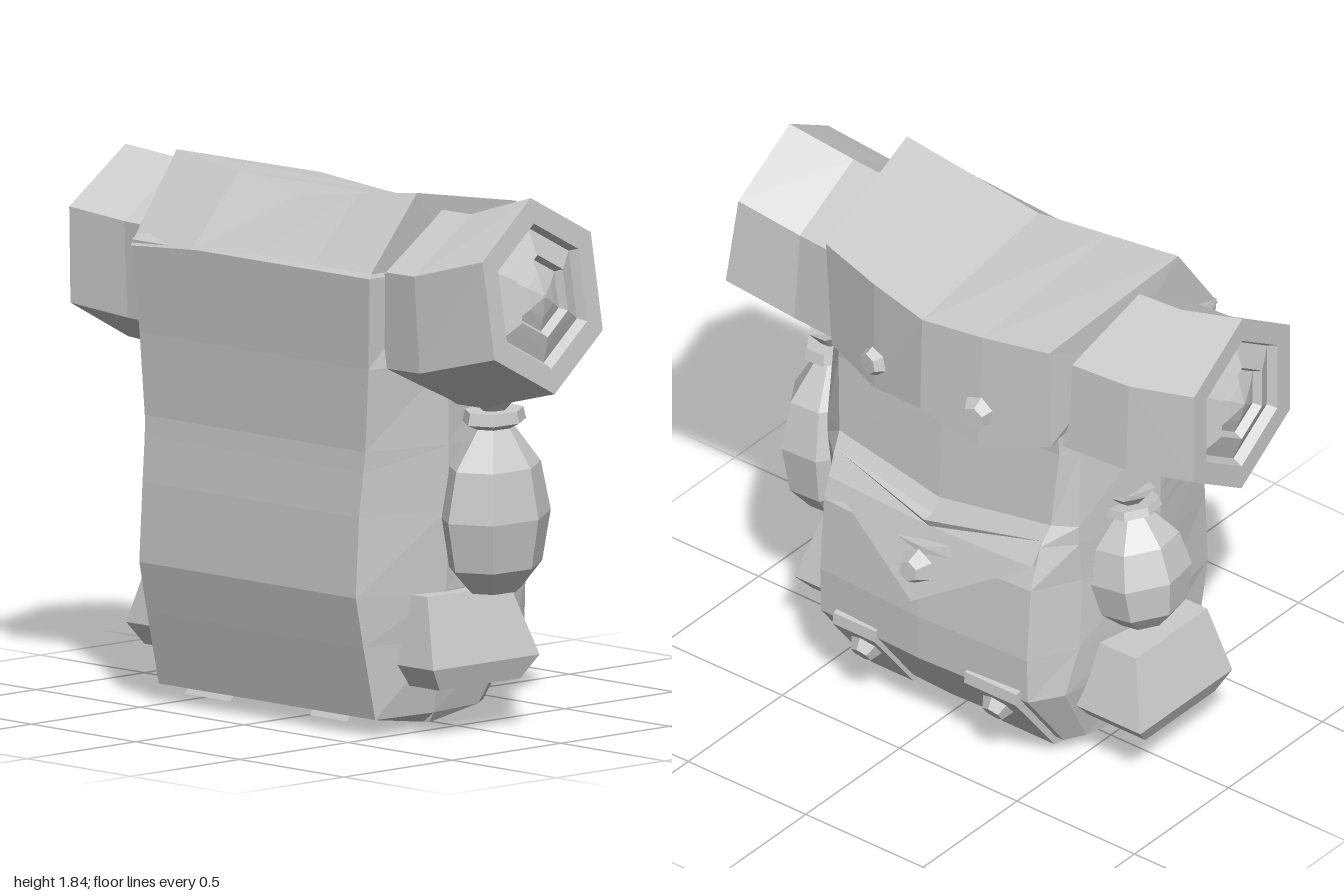
import * as THREE from 'three';

const mat = new THREE.MeshStandardMaterial({ color: 0xcccccc, flatShading: true });
const matDouble = new THREE.MeshStandardMaterial({ color: 0xcccccc, flatShading: true, side: THREE.DoubleSide });

// Skin a list of equal-length rings of [x, y, z] and close both ends.
function loft(rings) {
  const n = rings[0].length, pos = rings.flat(2), idx = [];
  rings.slice(1).forEach((_, r) => {
    for (let i = 0; i < n; i++) {
      const a = r * n + i, b = r * n + (i + 1) % n;
      idx.push(a, b, b + n, a, b + n, a + n);
    }
  });
  [0, rings.length - 1].forEach((r) => {
    const c = pos.length / 3;
    for (let k = 0; k < 3; k++) pos.push(rings[r].reduce((s, p) => s + p[k], 0) / n);
    for (let i = 0; i < n; i++) {
      const a = r * n + i, b = r * n + (i + 1) % n;
      if (r === 0) idx.push(c, b, a); else idx.push(c, a, b);
    }
  });
  // Turn the surface outward when its signed volume is negative.
  const v = (i) => new THREE.Vector3().fromArray(pos, i * 3);
  let vol = 0;
  for (let i = 0; i < idx.length; i += 3) vol += v(idx[i]).dot(v(idx[i + 1]).cross(v(idx[i + 2])));
  if (vol < 0) idx.reverse();
  const g = new THREE.BufferGeometry();
  g.setAttribute('position', new THREE.Float32BufferAttribute(pos, 3));
  g.setIndex(idx);
  const flat = g.toNonIndexed();
  flat.computeVertexNormals();
  return flat;
}

export function createModel() {
  const model = new THREE.Group();
  const add = (name, geo, material = mat) => {
    const m = new THREE.Mesh(geo, material);
    m.name = name;
    model.add(m);
    return m;
  };

  // Main bag: y, front z, front half-width, side half-width, rear side half-width and z, back z, back half-width, dip of the back centre
  const levels = [
    [0.025, 0.13, 0.50, 0.51, 0.48, 0.10, 0.09, 0.44, 0],
    [0.06, 0.37, 0.52, 0.53, 0.48, -0.12, -0.19, 0.43, 0],
    [0.31, 0.425, 0.52, 0.57, 0.51, -0.27, -0.38, 0.43, 0],
    [0.48, 0.46, 0.52, 0.59, 0.53, -0.22, -0.385, 0.43, 0],
    [0.75, 0.445, 0.52, 0.60, 0.53, -0.20, -0.365, 0.43, 0],
    [0.90, 0.43, 0.525, 0.60, 0.53, -0.22, -0.315, 0.43, 0.07],
    [0.97, 0.425, 0.53, 0.60, 0.53, -0.22, -0.27, 0.44, 0.07],
    [1.25, 0.43, 0.55, 0.60, 0.52, -0.20, -0.25, 0.46, 0],
    [1.56, 0.445, 0.57, 0.57, 0.51, -0.20, -0.27, 0.46, 0],
    [1.64, 0.35, 0.55, 0.54, 0.50, -0.18, -0.26, 0.45, 0],
  ];
  add('bag', loft(levels.map(([y, zf, wf, ws, wr, zs, zb, wb, dip]) => [
    [wf - 0.025, y, zf], [ws - 0.015, y, 0.12], [wr, y, zs], [wb, y, zb],
    [0, y - dip, zb - 0.02],
    [-wb - 0.02, y, zb], [-wr - 0.01, y, zs], [-ws - 0.015, y, 0.12], [-wf - 0.025, y, zf],
    [-0.03, y, zf],
  ])));

  // Lid: [front x, back x, front y, ridge y, rear top y, rear top z, hem y, hem z]
  const lid = [
    [-0.595, -0.50, 1.54, 1.84, 1.71, -0.33, 1.33, -0.32],
    [-0.30, -0.24, 1.56, 1.80, 1.68, -0.36, 1.25, -0.385],
    [0, 0, 1.58, 1.76, 1.66, -0.38, 1.31, -0.39],
    [0.28, 0.23, 1.58, 1.795, 1.69, -0.35, 1.27, -0.345],
    [0.56, 0.465, 1.58, 1.83, 1.73, -0.31, 1.31, -0.28],
  ];
  add('lid', loft(lid.map(([xf, xb, yf, yr, yb, zb, yh, zh]) => [
    [xf, yf, 0.452], [xf, yr, 0.24], [xb, yb, zb], [xb, yh, zh],
    [xb, yh + 0.02, -0.22], [xf, yf - 0.02, 0.2],
  ])));

  // Pointed flap over the back pocket
  const flap = [[0.42, 0.92, -0.305], [0, 0.85, -0.37], [-0.45, 0.92, -0.305],
    [-0.45, 0.84, -0.355], [0, 0.56, -0.44], [0.42, 0.84, -0.355]];
  add('pocketFlap', loft([flap, flap.map(([x, y, z]) => [x, y, z + 0.08])]));

  // Two straps wrapping under the bag
  const path = [[0.34, -0.402], [0.3, -0.407], [0.035, -0.2], [0, 0.11], [0.04, 0.37]];
  [[-0.42, -0.2], [0.18, 0.36]].forEach(([x0, x1]) => add('strap', loft(path.map(([y, z]) => {
    const yi = y + (0.5 - y) * 0.12, zi = z + (0.05 - z) * 0.12;
    return [[x0, y, z], [x1, y, z], [x1, yi, zi], [x0, yi, zi]];
  }))));

  // Hexagonal studs: position followed by facing direction
  [
    [0.23, 1.38, -0.35, 0.2, 0, -1], [-0.24, 1.39, -0.39, -0.15, 0, -1],
    [0, 0.685, -0.43, 0, 0.1, -1],
    [0.26, 0.22, -0.36, 0, -0.6, -0.8], [-0.3, 0.22, -0.36, 0, -0.6, -0.8],
  ].forEach(([x, y, z, dx, dy, dz]) => {
    const stud = add('stud', new THREE.CylinderGeometry(0.038, 0.065, 0.055, 6));
    stud.position.set(x, y, z);
    stud.quaternion.setFromUnitVectors(new THREE.Vector3(0, 1, 0), new THREE.Vector3(dx, dy, dz).normalize());
  });

  // Bedroll ends: six-sided, slightly bent, with a ringed hollow at each outer face
  const hex = ([x, y, z, ty, tz], f = 1, dx = 0) => Array.from({ length: 6 }, (_, i) => {
    const a = i * Math.PI / 3 + Math.PI / 2 - 0.05;
    const dy = Math.sin(a) * 0.328 * f, dz = Math.cos(a) * 0.328 * f;
    return [x + dx + ty * dy + tz * dz, y + dy, z + dz];
  });
  const steps = [[0.74, 0], [0.69, -0.035], [0.54, -0.015], [0.42, 0], [0.37, -0.03], [0.22, -0.01], [0.02, 0.01]];
  [
    [[-0.48, 1.435, 0.05, 0, 0], [-0.74, 1.445, 0.06, 0, 0.03], [-0.97, 1.475, 0.11, 0.03, 0.08]],
    [[0.46, 1.425, 0.08, 0, 0], [0.69, 1.43, 0.09, -0.03, 0.03], [0.95, 1.505, 0.035, -0.13, 0.12]],
  ].forEach((spine) => add('bedroll', loft([
    ...spine.map((s) => hex(s)),
    ...steps.map(([f, d]) => hex(spine[2], f, d * Math.sign(spine[2][0]))),
  ])));

  // Tied sacks hanging from the sides: position, x, y and z scale, lean
  const profile = [[0.001, 0], [0.1, 0.005], [0.18, 0.09], [0.212, 0.26], [0.175, 0.43], [0.075, 0.56],
    [0.12, 0.58], [0.11, 0.62], [0.05, 0.62], [0.1, 0.67], [0.001, 0.64]];
  [
    [0.655, 0.47, -0.025, 0.79, 1, 1, -0.04],
    [-0.665, 0.55, -0.025, 0.8, 0.72, 0.88, -0.16],
  ].forEach(([x, y, z, sx, sy, sz, lean]) => {
    const g = new THREE.LatheGeometry(profile.map((p) => new THREE.Vector2(...p)), 7);
    const sack = add('sideSack', g, matDouble);
    sack.position.set(x, y, z);
    sack.scale.set(sx, sy, sz);
    sack.rotation.set(0.04, 0, lean);
  });

  // Wedge-shaped lower side pouches
  [[1, 0.62, 0.69, 0.67, 0], [-1, 0.71, 0.785, 0.75, -0.01]].forEach(([s, xt, xm, xb, dy]) => {
    const ring = (x, y, zf, zb) => [[s * 0.46, y + dy, zf], [s * x, y + dy, zf], [s * x, y + dy, zb], [s * 0.46, y + dy, zb]];
    add('sidePouch', loft([ring(xb, 0.165, 0.24, -0.13), ring(xm, 0.24, 0.29, -0.2), ring(xt, 0.475, 0.25, -0.13)]));
  });

  return model;
}
